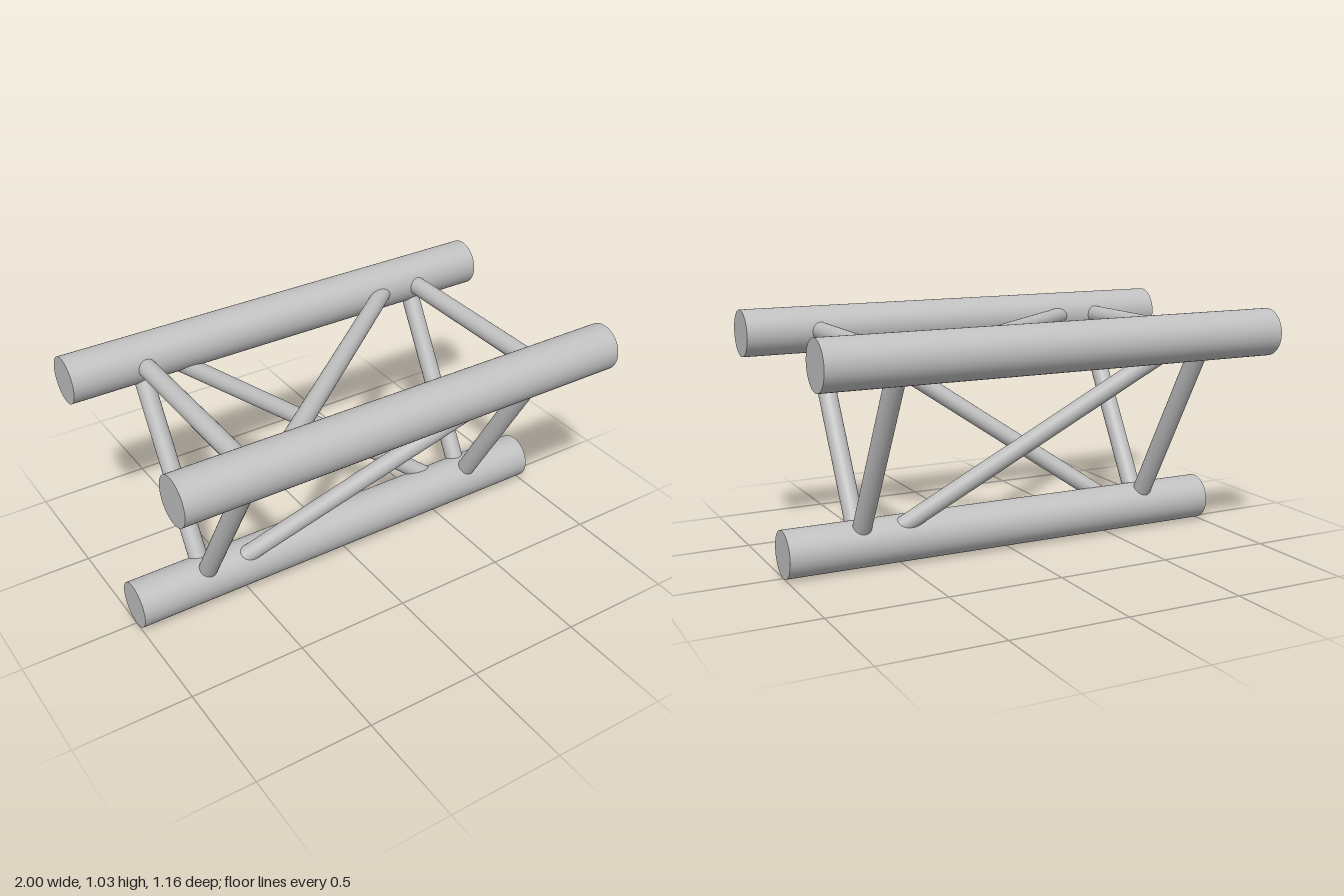
import * as THREE from 'three';

export function createModel() {
  const group = new THREE.Group();
  const metal = new THREE.MeshStandardMaterial({ color: 0xc0c0c0 });
  metal.name = 'aluminium grey';

  // Round tube between two points
  const up = new THREE.Vector3(0, 1, 0);
  function addTube(name, a, b, radius, sides) {
    const dir = b.clone().sub(a);
    const mesh = new THREE.Mesh(
      new THREE.CylinderGeometry(radius, radius, dir.length(), sides), metal);
    mesh.position.copy(a).add(b).multiplyScalar(0.5);
    mesh.quaternion.setFromUnitVectors(up, dir.normalize());
    mesh.name = name;
    group.add(mesh);
  }

  // Triangular section: bottom, top front, top back
  const corners = [
    { name: 'bottom', y: 0.1, z: 0 },
    { name: 'topFront', y: 0.933, z: 0.481 },
    { name: 'topBack', y: 0.933, z: -0.481 },
  ];
  const at = (corner, x) => new THREE.Vector3(x, corner.y, corner.z);

  // Main chords
  for (const c of corners) addTube(c.name + 'Chord', at(c, -1), at(c, 1), 0.1, 48);

  // Each side has two straight struts and one diagonal
  corners.forEach((from, i) => {
    const to = corners[(i + 1) % 3];
    for (const x of [-0.677, 0.677]) {
      addTube(from.name + (x < 0 ? 'RightStrut' : 'LeftStrut'), at(from, x), at(to, x), 0.04, 32);
    }
    // The back diagonal runs from the top right to the bottom left
    addTube(from.name + 'Diagonal', at(from, -0.583), at(to, 0.583), 0.038, 32);
  });

  return group;
}
